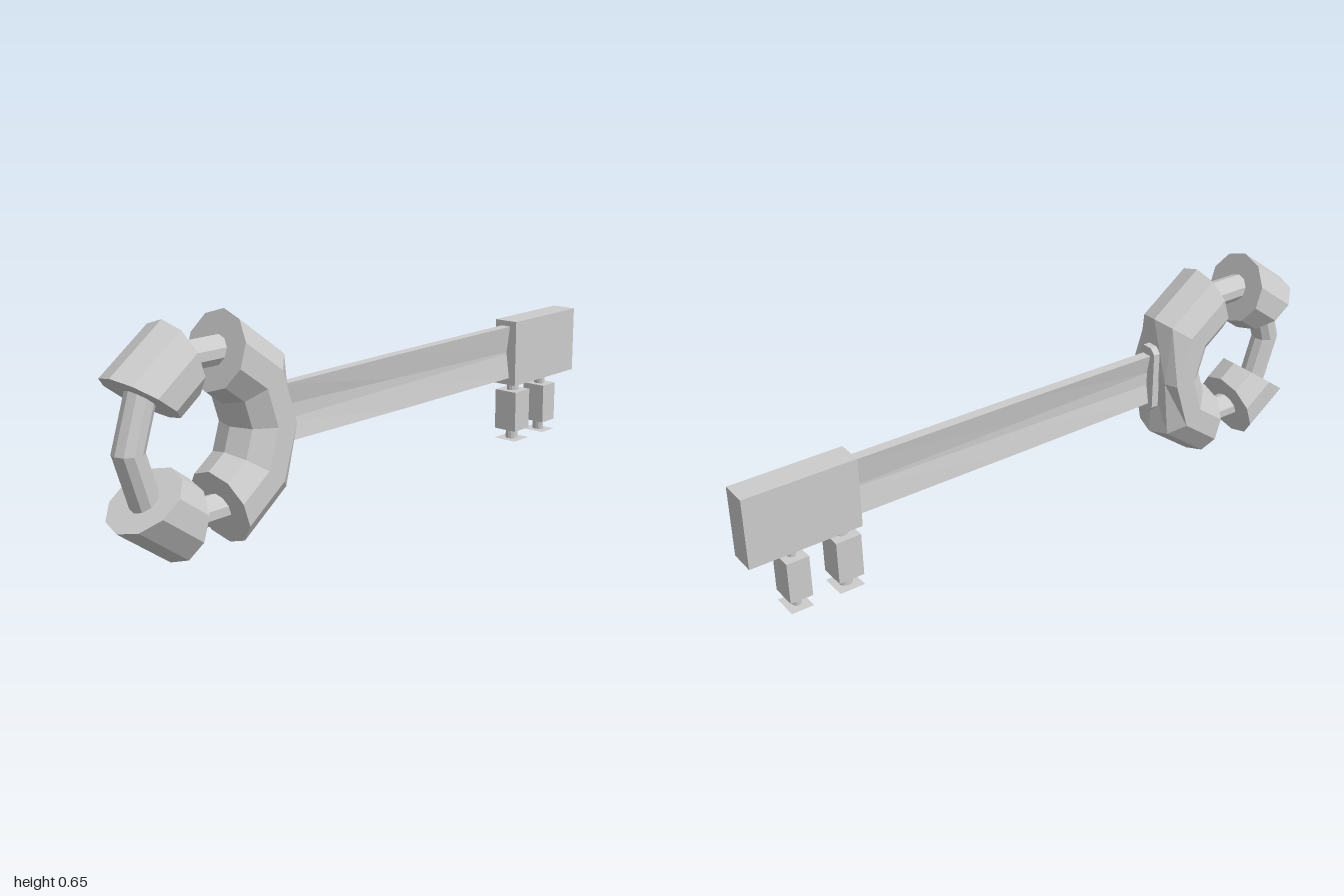
import * as THREE from 'three';
import { mergeGeometries } from 'three/addons/utils/BufferGeometryUtils.js';

const RING = 0.229;
const STEP = Math.PI / 5; // the bow is a ten-sided ring
const grey = new THREE.MeshStandardMaterial({ color: 0xcccccc, flatShading: true });
const greyThin = new THREE.MeshStandardMaterial({ color: 0xcccccc, flatShading: true, side: THREE.DoubleSide });

function add(parent, name, geometry, x = 0, y = 0, z = 0, material = grey) {
  const mesh = new THREE.Mesh(geometry, material);
  mesh.name = name;
  mesh.position.set(x, y, z);
  parent.add(mesh);
  return mesh;
}

// Thick capped piece of the ring, from step a to step b
function cuffGeometry(a, b, radius) {
  const body = new THREE.TorusGeometry(RING, radius, 10, b - a, (b - a) * STEP).rotateZ(a * STEP);
  const cap = (step, turn) => new THREE.CircleGeometry(radius, 10)
    .rotateX(turn).translate(RING, 0, 0).rotateZ(step * STEP);
  const geometry = mergeGeometries([body, cap(a, Math.PI / 2), cap(b, -Math.PI / 2)]);
  // Flatten the side that meets the shaft
  const p = geometry.attributes.position;
  for (let i = 0; i < p.count; i++) p.setX(i, Math.min(p.getX(i), 0.28));
  return geometry;
}

// Solid through matching cross-sections, each a list of [z, y] at a given x
function loft(sections) {
  const n = sections[0].points.length;
  const pos = [], index = [];
  for (const s of sections) for (const [z, y] of s.points) pos.push(s.x, y, z);
  for (let s = 0; s < sections.length - 1; s++) {
    for (let i = 0; i < n; i++) {
      const a = s * n + i, b = s * n + (i + 1) % n;
      index.push(a, a + n, b, b, a + n, b + n);
    }
  }
  const g = new THREE.BufferGeometry();
  g.setAttribute('position', new THREE.Float32BufferAttribute(pos, 3));
  g.setIndex(index);
  g.computeVertexNormals();
  return g;
}

// Grooved shaft section: wide at top and bottom, pinched in the middle
function shaftSection(x, low, high, band) {
  const mid = 0.327, edge = 0.017, waist = 0.005;
  const side = [[edge, low], [waist, mid - band], [waist, mid + band], [edge, high]];
  const back = side.map(([z, y]) => [-z, y]).reverse();
  return { x, points: [...side, ...back] };
}

export function createModel() {
  const key = new THREE.Group();
  key.name = 'key';

  // Bow: slim ring with three thick cuffs
  const bow = new THREE.Group();
  bow.name = 'bow';
  bow.position.set(-0.7225, 0.326, 0);
  key.add(bow);
  add(bow, 'ring', new THREE.TorusGeometry(RING, 0.044, 10, 10));
  add(bow, 'shaftCuff', cuffGeometry(-2, 2, 0.114));
  add(bow, 'upperCuff', cuffGeometry(3, 4, 0.114));
  add(bow, 'lowerCuff', cuffGeometry(6, 7, 0.114));

  // Collar plate with cut corners
  const w = 0.035, h = 0.112, c = 0.018;
  const plate = new THREE.Shape([
    [w, -h + c], [w, h - c], [w - c, h], [-w + c, h],
    [-w, h - c], [-w, -h + c], [-w + c, -h], [w - c, -h],
  ].map(([x, y]) => new THREE.Vector2(x, y)));
  add(key, 'collar', new THREE.ExtrudeGeometry(plate, { depth: 0.025, bevelEnabled: false })
    .rotateY(Math.PI / 2), -0.445, 0.328, 0);

  // Shaft
  add(key, 'shaft', loft([
    shaftSection(-0.43, 0.243, 0.412, 0.022),
    shaftSection(0.08, 0.241, 0.417, 0.013),
    shaftSection(0.66, 0.241, 0.419, 0.003),
  ]));

  // Bit block
  add(key, 'bitBlock', new THREE.BoxGeometry(0.348, 0.22, 0.084), 0.826, 0.327, 0);

  // Two teeth: pin, block and thin foot plate
  for (const [x, width, pinRadius, top] of [[0.699, 0.08, 0.02, 0.192], [0.858, 0.07, 0.014, 0.187]]) {
    const tooth = new THREE.Group();
    tooth.name = 'tooth';
    tooth.position.x = x;
    key.add(tooth);
    add(tooth, 'toothPin', new THREE.CylinderGeometry(1, 1, 0.2, 12).scale(pinRadius, 1, 0.02), 0, 0.121, 0);
    add(tooth, 'toothBlock', new THREE.BoxGeometry(width, top - 0.055, 0.084), 0, (top + 0.055) / 2, 0);
    add(tooth, 'toothFoot', new THREE.PlaneGeometry(width, 0.084).rotateX(-Math.PI / 2), 0, 0.02, 0, greyThin);
  }

  return key;
}
